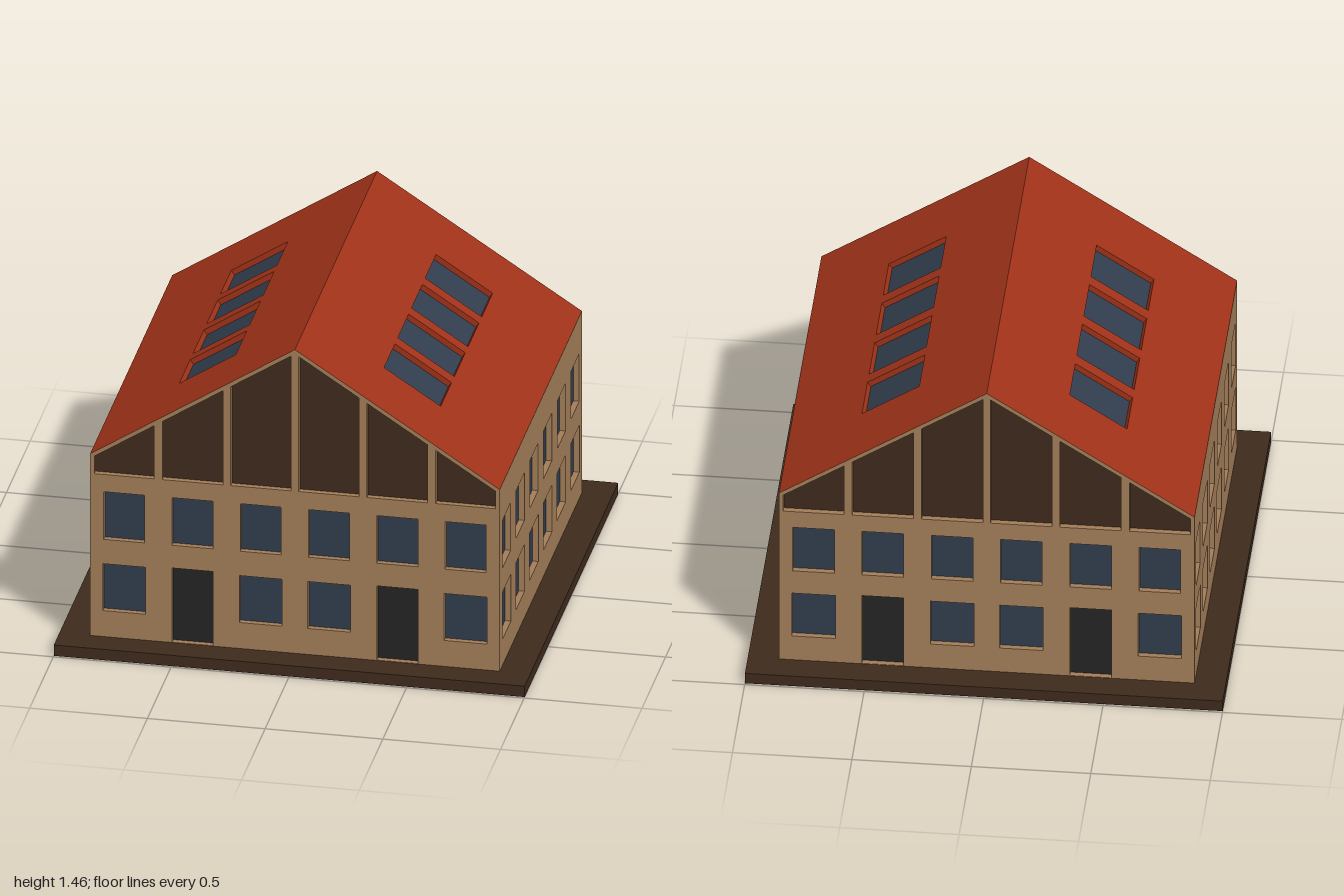
import * as THREE from 'three';

const HALF = 0.87, BASE = 0.05, EAVE = 0.89, RIDGE = 1.455;
const DEPTH = 0.025;

const mat = (color) => new THREE.MeshStandardMaterial({ color, side: THREE.DoubleSide });
const MATS = {
  wall: mat(0xa37d58), roof: mat(0xa03218), plinth: mat(0x3e2a1c),
  glass: mat(0x313d4d), door: mat(0x242424), timber: mat(0x3e2a1c),
};

const toShape = (pts) => new THREE.Shape(pts.map(([x, y]) => new THREE.Vector2(x, y)));
const rect = (x0, x1, y0, y1) => [[x0, y0], [x1, y0], [x1, y1], [x0, y1]];

function addMesh(group, name, geometry, material) {
  const mesh = new THREE.Mesh(geometry, material);
  mesh.name = name;
  group.add(mesh);
  return mesh;
}

// Reveal: the strip of faces running inward around an opening
function revealGeometry(pts) {
  const pos = [];
  pts.forEach(([ax, ay], i) => {
    const [bx, by] = pts[(i + 1) % pts.length];
    pos.push(ax, ay, 0, ax, ay, -DEPTH, bx, by, -DEPTH);
    pos.push(ax, ay, 0, bx, by, -DEPTH, bx, by, 0);
  });
  const g = new THREE.BufferGeometry();
  g.setAttribute('position', new THREE.Float32BufferAttribute(pos, 3));
  g.computeVertexNormals();
  return g;
}

// Flat surface in XY with recessed openings, each { name, pts, fill }
function recessedPanel(name, outline, openings, material) {
  const group = new THREE.Group();
  group.name = name;
  const shape = toShape(outline);
  openings.forEach((o) => shape.holes.push(toShape(o.pts)));
  addMesh(group, name + 'Surface', new THREE.ShapeGeometry(shape), material);
  openings.forEach((o) => {
    addMesh(group, o.name + 'Reveal', revealGeometry(o.pts), material);
    addMesh(group, o.name, new THREE.ShapeGeometry(toShape(o.pts)), o.fill).position.z = -DEPTH;
  });
  return group;
}

// Two rows of six windows, with doors replacing some on the ground floor
function wallOpenings(doorColumns) {
  const list = [];
  for (let i = 0; i < 6; i++) {
    const x = (i - 2.5) * 0.29;
    list.push({ name: 'upperWindow', pts: rect(x - 0.087, x + 0.087, 0.5, 0.72), fill: MATS.glass });
    if (doorColumns.includes(i)) {
      list.push({ name: 'door', pts: rect(x - 0.087, x + 0.087, BASE + 0.002, 0.395), fill: MATS.door });
    } else {
      list.push({ name: 'lowerWindow', pts: rect(x - 0.091, x + 0.091, 0.17, 0.387), fill: MATS.glass });
    }
  }
  return list;
}

// Gable end with timber infill between posts
function gableWall() {
  const top = (x) => RIDGE - ((RIDGE - EAVE) * Math.abs(x)) / HALF - 0.021;
  const openings = wallOpenings([1, 4]);
  for (const s of [-1, 1]) {
    for (const [a, b] of [[0.016, 0.273], [0.306, 0.563], [0.598, 0.852]]) {
      const pts = [[s * a, 0.8], [s * b, 0.8], [s * b, top(b)], [s * a, top(a)]];
      openings.push({ name: 'gableInfill', pts, fill: MATS.timber });
    }
  }
  const outline = [[-HALF, BASE], [HALF, BASE], [HALF, EAVE], [0, RIDGE], [-HALF, EAVE]];
  return recessedPanel('gableWall', outline, openings, MATS.wall);
}

// Roof slope with four skylights, tilted into place on the +x side
function roofSlope() {
  const length = Math.hypot(HALF, RIDGE - EAVE);
  const c = HALF / length, s = (RIDGE - EAVE) / length;
  const openings = [];
  for (let i = 0; i < 4; i++) {
    const u = (i - 1.5) * 0.29;
    const pts = rect(u - 0.115, u + 0.115, (HALF - 0.555) / c, (HALF - 0.315) / c);
    openings.push({ name: 'skylight', pts, fill: MATS.glass });
  }
  const slope = recessedPanel('roofSlope', rect(-HALF, HALF, 0, length), openings, MATS.roof);
  const basis = new THREE.Matrix4().makeBasis(
    new THREE.Vector3(0, 0, -1), new THREE.Vector3(-c, s, 0), new THREE.Vector3(s, c, 0));
  slope.quaternion.setFromRotationMatrix(basis);
  slope.position.set(HALF, EAVE, 0);
  return slope;
}

export function createModel() {
  const model = new THREE.Group();
  model.name = 'house';

  // Plinth: a ring around the house
  const ring = toShape(rect(-1, 1, -0.99, 0.99));
  ring.holes.push(toShape(rect(-HALF, HALF, -HALF, HALF)));
  const plinth = new THREE.ExtrudeGeometry(ring, { depth: BASE, bevelEnabled: false });
  addMesh(model, 'plinth', plinth.rotateX(-Math.PI / 2), MATS.plinth);

  // Floor of the house, flush with the underside of the plinth
  const floor = new THREE.PlaneGeometry(2 * HALF, 2 * HALF).rotateX(Math.PI / 2);
  addMesh(model, 'floor', floor, MATS.wall);

  // Each half holds one gable, one long wall and one roof slope
  for (const turn of [0, Math.PI]) {
    const half = new THREE.Group();
    half.name = turn ? 'backHalf' : 'frontHalf';
    const gable = gableWall();
    gable.position.z = HALF;
    const side = recessedPanel('sideWall', rect(-HALF, HALF, BASE, EAVE), wallOpenings([]), MATS.wall);
    side.rotation.y = Math.PI / 2;
    side.position.x = HALF;
    half.add(gable, side, roofSlope());
    half.rotation.y = turn;
    model.add(half);
  }
  return model;
}
